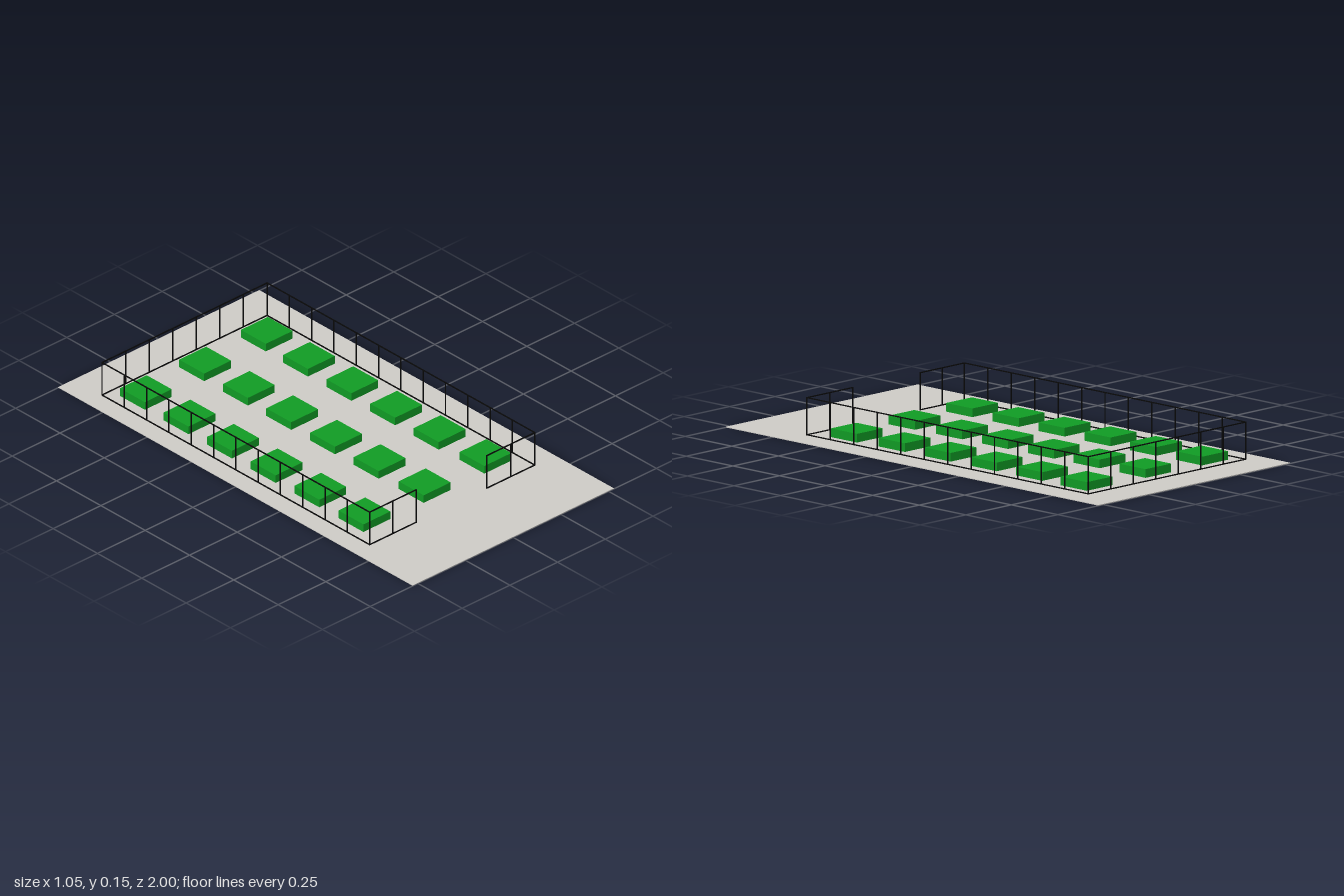
import * as THREE from 'three';

export function createModel() {
  const model = new THREE.Group();
  const ground = new THREE.MeshStandardMaterial({ color: 0xcccac5 });
  const green = new THREE.MeshStandardMaterial({ color: 0x109a24 });
  const black = new THREE.MeshStandardMaterial({ color: 0x080808 });

  const addBox = (parent, name, material, size, position) => {
    const mesh = new THREE.Mesh(new THREE.BoxGeometry(...size), material);
    mesh.name = name;
    mesh.position.set(...position);
    parent.add(mesh);
  };

  // Ground slab
  const baseTop = 0.003;
  addBox(model, 'groundSlab', ground, [1.054, baseTop, 2], [0, baseTop / 2, 0]);

  // Grid of low planting blocks, three columns by six rows
  const blocks = new THREE.Group();
  blocks.name = 'plantingBlocks';
  model.add(blocks);
  const blockHeight = 0.034;
  const rows = [-0.721, -0.475, -0.23, 0.017, 0.263, 0.512];
  rows.forEach((z, r) => {
    const end = r === 0 || r === rows.length - 1;
    const columns = [-0.327, r === rows.length - 1 ? -0.011 : -0.016, end ? 0.307 : 0.299];
    for (const x of columns) {
      addBox(blocks, 'plantingBlock', green, [0.141, blockHeight, 0.141], [x, baseTop + blockHeight / 2, z]);
    }
  });

  // Fence runs: posts at even spacing between a bottom and a top rail
  const rod = 0.004, fenceTop = 0.153;
  const addFence = (name, [x0, z0], [x1, z1], bays) => {
    const run = new THREE.Group();
    run.name = name;
    const dx = x1 - x0, dz = z1 - z0;
    for (let i = 0; i <= bays; i++) {
      const t = i / bays;
      addBox(run, 'fencePost', black, [rod, fenceTop - baseTop, rod],
        [x0 + dx * t, (fenceTop + baseTop) / 2, z0 + dz * t]);
    }
    for (const y of [baseTop + rod / 2, fenceTop - rod / 2]) {
      addBox(run, 'fenceRail', black, [Math.abs(dx) + rod, rod, Math.abs(dz) + rod],
        [(x0 + x1) / 2, y, (z0 + z1) / 2]);
    }
    model.add(run);
  };
  const left = 0.419, right = -0.446, front = 0.67, back = -0.84;
  addFence('backFence', [right, back], [left, back], 7);
  addFence('rightFence', [right, back], [right, front], 12);
  addFence('leftFence', [left, back], [left, front], 12);
  // Front fence leaves an open entrance between its two halves
  addFence('frontFenceRight', [right, front], [-0.203, front], 2);
  addFence('frontFenceLeft', [0.168, front], [left, front], 2);

  return model;
}
